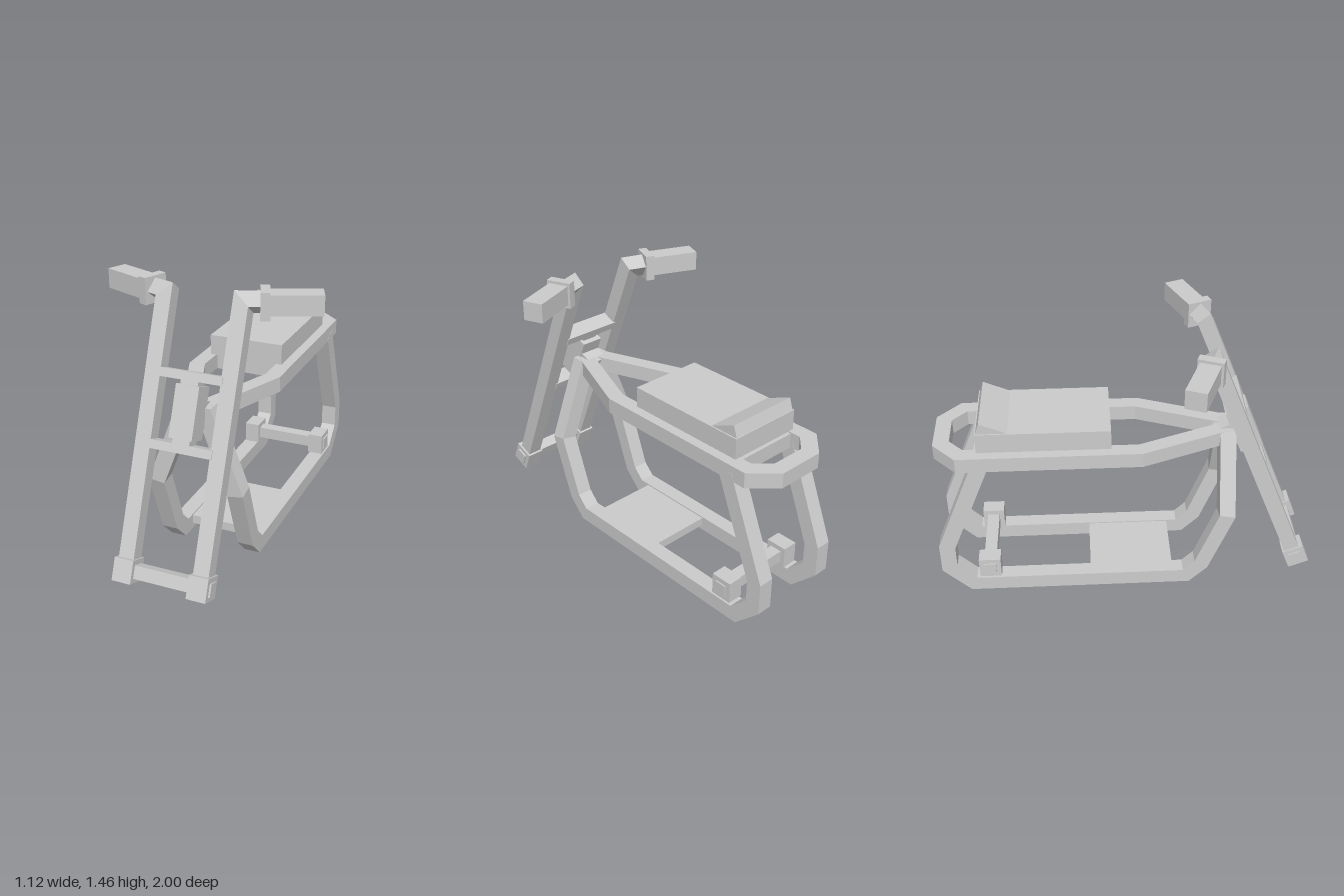
import * as THREE from 'three';

const material = new THREE.MeshStandardMaterial({ color: 0xcccccc, flatShading: true });
const V = (x, y, z) => new THREE.Vector3(x, y, z);
const TILT = -Math.atan2(0.5, 1.25); // rake of the fork

export function createModel() {
  const model = new THREE.Group();

  function add(name, geometry) {
    const mesh = new THREE.Mesh(geometry, material);
    mesh.name = name;
    model.add(mesh);
    return mesh;
  }

  function box(name, [w, h, d], [x, y, z], rx = 0, ry = 0) {
    const mesh = add(name, new THREE.BoxGeometry(w, h, d));
    mesh.position.set(x, y, z);
    mesh.rotation.set(rx, ry, 0);
    return mesh;
  }

  // Square tube along a polyline with mitred bends; the ends may be cut along a given normal
  function tube(name, points, axis, size, startNormal, endNormal) {
    const last = points.length - 1;
    const dirs = points.slice(1).map((p, i) => p.clone().sub(points[i]).normalize());
    const a = axis.clone().addScaledVector(dirs[0], -axis.dot(dirs[0])).normalize();
    const b = dirs[0].clone().cross(a);
    let ring = [[1, 1], [-1, 1], [-1, -1], [1, -1]].map(([i, j]) =>
      points[0].clone().addScaledVector(a, i * size / 2).addScaledVector(b, j * size / 2));
    const rings = points.map((p, i) => {
      const d = dirs[Math.max(i - 1, 0)];
      let n = d;
      if (i === 0) n = startNormal || d;
      else if (i === last) n = endNormal || d;
      else n = d.clone().add(dirs[i]);
      ring = ring.map(c => c.clone().addScaledVector(d, p.clone().sub(c).dot(n) / d.dot(n)));
      return ring;
    });
    const tris = [];
    const quad = (p, q, r, s) => tris.push(p, q, r, p, r, s);
    for (let i = 0; i < last; i++) {
      for (let j = 0; j < 4; j++) {
        const k = (j + 1) % 4;
        quad(rings[i][j], rings[i][k], rings[i + 1][k], rings[i + 1][j]);
      }
    }
    const s = rings[0], e = rings[last];
    quad(s[3], s[2], s[1], s[0]);
    quad(e[0], e[1], e[2], e[3]);
    const geometry = new THREE.BufferGeometry().setFromPoints(tris);
    geometry.computeVertexNormals();
    return add(name, geometry);
  }

  const X = V(1, 0, 0), Y = V(0, 1, 0), Z = V(0, 0, 1);

  // Upper rail: from the head, around the tail and back to the head
  const half = [[0.035, 0.53], [0.213, 0.07], [0.213, -0.848], [0.11, -0.945]];
  const rail = [
    ...half.map(([x, z]) => V(x, 0.85, z)),
    ...half.slice().reverse().map(([x, z]) => V(-x, 0.85, z)),
  ];
  tube('upperRail', rail, Y, 0.082, Z.clone().negate(), Z);

  for (const s of [1, -1]) {
    const side = s > 0 ? 'left' : 'right';

    // Side loop: rear leg, bottom runner and down tube converging on the head
    const loop = [[0.213, 0.84, -0.745], [0.213, 0.31, -0.96], [0.213, 0.165, -0.96],
      [0.213, 0.042, -0.838], [0.213, 0.042, 0.322], [0.213, 0.122, 0.402],
      [0.213, 0.45, 0.527], [0.045, 0.89, 0.527]];
    tube(side + 'FrameLoop', loop.map(([x, y, z]) => V(s * x, y, z)), X, 0.084, null, Y);

    // Fork leg bending outward at the top
    tube(side + 'ForkLeg', [V(s * 0.196, 0.13, 0.925), V(s * 0.196, 1.39, 0.42),
      V(s * 0.295, 1.39, 0.385)], X, 0.08);

    // Handlebar collar and grip, swept back
    const yaw = s * 0.385;
    box(side + 'Collar', [0.046, 0.135, 0.13], [s * 0.29, 1.388, 0.39], 0, yaw);
    box(side + 'Grip', [0.27, 0.1, 0.105], [s * 0.416, 1.39, 0.339], 0, yaw);

    // Axle clamps at the fork foot and on the rear runner
    box(side + 'ForkClamp', [0.1, 0.115, 0.115], [s * 0.196, 0.145, 0.925], TILT);
    box(side + 'RearClamp', [0.085, 0.117, 0.117], [s * 0.205, 0.146, -0.745]);
  }

  // Axles
  box('frontAxle', [0.51, 0.066, 0.066], [0, 0.145, 0.925], TILT);
  box('rearAxle', [0.51, 0.066, 0.066], [0, 0.145, -0.745]);

  // Steering head between two fork bridges
  box('upperBridge', [0.33, 0.043, 0.09], [0, 1.04, 0.56], TILT);
  box('lowerBridge', [0.33, 0.043, 0.09], [0, 0.72, 0.688], TILT);
  box('steeringStem', [0.09, 0.34, 0.08], [0, 0.88, 0.624], TILT);
  box('steeringHead', [0.12, 0.258, 0.122], [0, 0.88, 0.618], TILT);
  box('headGusset', [0.11, 0.13, 0.14], [0, 0.845, 0.55], TILT);

  // Seat with a wedge-shaped rear stop and two supports below
  box('seat', [0.405, 0.11, 0.68], [0, 0.945, -0.42]);
  const wedge = new THREE.Shape([[0.585, 0.995], [0.76, 0.985], [0.735, 1.06]]
    .map(([z, y]) => new THREE.Vector2(z, y)));
  const stop = add('seatStop', new THREE.ExtrudeGeometry(wedge, { depth: 0.39, bevelEnabled: false }));
  stop.rotation.y = Math.PI / 2;
  stop.position.x = -0.195;
  for (const z of [-0.14, -0.735]) box('seatSupport', [0.36, 0.08, 0.08], [0, 0.845, z]);

  // Floor plate between the runners
  box('floorPlate', [0.36, 0.048, 0.45], [0, 0.053, 0.025]);

  return model;
}
